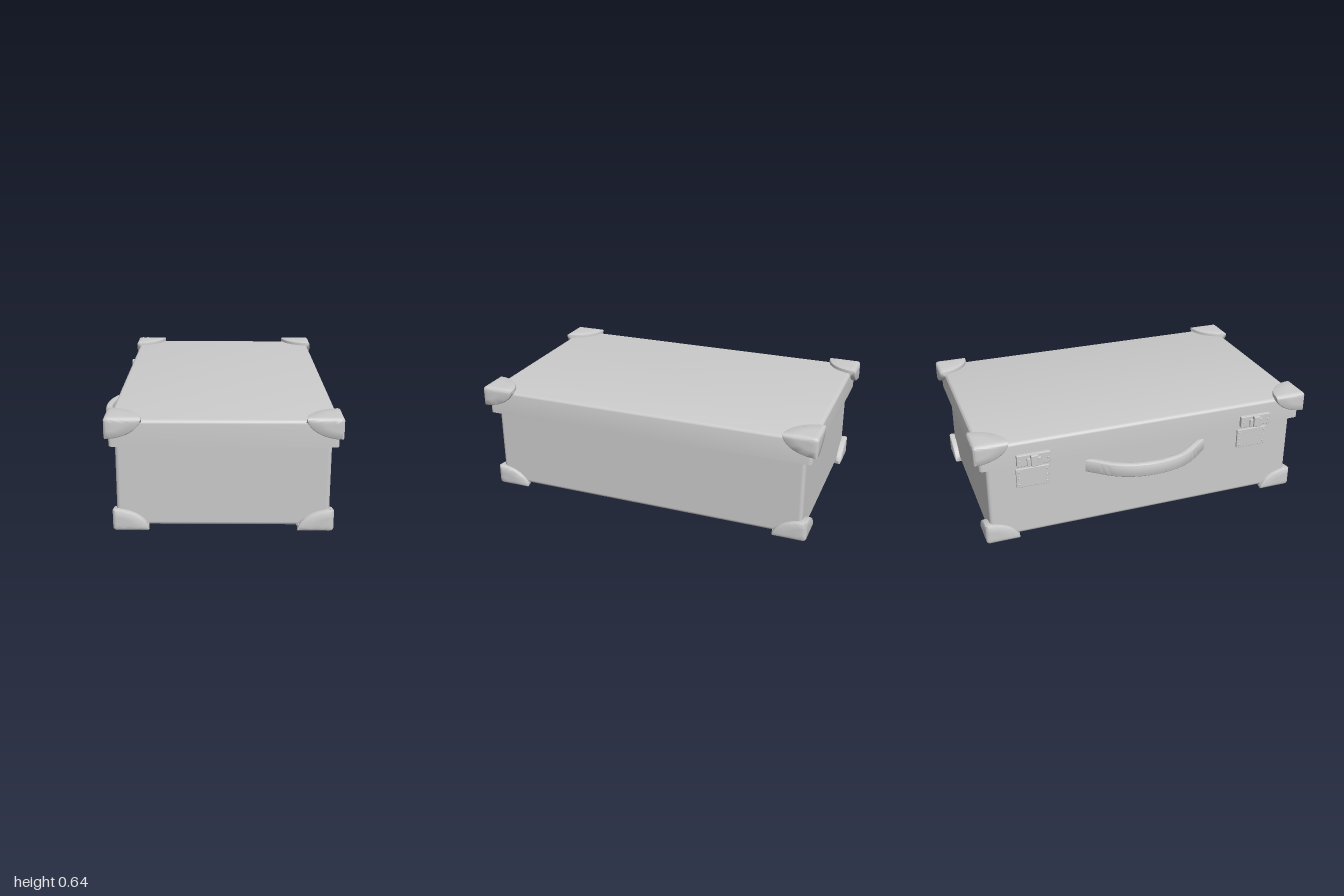
import * as THREE from 'three';
import { toCreasedNormals } from 'three/addons/utils/BufferGeometryUtils.js';
import { RoundedBoxGeometry } from 'three/addons/geometries/RoundedBoxGeometry.js';

const material = new THREE.MeshStandardMaterial({ color: 0xcccccc });

function add(parent, name, geometry) {
  const mesh = new THREE.Mesh(geometry, material);
  mesh.name = name;
  parent.add(mesh);
  return mesh;
}

// Rounded box given by its lowest and highest corners
function block(min, max, radius, segments = 3) {
  const s = max.map((m, i) => m - min[i]);
  return new RoundedBoxGeometry(s[0], s[1], s[2], segments, radius)
    .translate(...max.map((m, i) => (m + min[i]) / 2));
}

// Corner cap: three quarter-ellipse plates meeting at a rounded corner
function cornerCap(corner, sign, reach) {
  const R = 0.02, columns = 20;
  const rows = [
    [0, 0], [0.05, 0], [0.1, 0], [0.17, 0], [0.35, 0], [0.65, 0], [0.95, 0],
    [0.99, 0.004], [1, 0.012], [1, 0.04], // rolled rim, turned into the case
  ];
  const flip = sign[0] * sign[1] * sign[2] < 0;
  const positions = [];

  const point = (face, [r, inset], j) => {
    const t = j / columns;
    const angle = (Math.PI / 2) * t * t * (3 - 2 * t);
    const u = (face + 1) % 3, v = (face + 2) % 3;
    const p = [0, 0, 0];
    p[u] = r * reach[u] * (j === columns ? 0 : Math.cos(angle));
    p[v] = r * reach[v] * Math.sin(angle);
    // Round the edges of the corner
    const core = p.map((c) => Math.max(c, R));
    const d = core.map((c, i) => c - p[i]);
    const length = Math.hypot(...d);
    return core.map((c, i) =>
      corner[i] - sign[i] * Math.max(c - (d[i] / length) * R, inset));
  };

  for (let face = 0; face < 3; face++) {
    for (let i = 0; i < rows.length - 1; i++) {
      for (let j = 0; j < columns; j++) {
        const a = point(face, rows[i], j), b = point(face, rows[i + 1], j);
        const c = point(face, rows[i + 1], j + 1), d = point(face, rows[i], j + 1);
        const triangles = i === 0 ? [[a, b, c]] : [[a, b, c], [a, c, d]];
        for (const [p, q, s] of triangles) positions.push(...p, ...(flip ? s : q), ...(flip ? q : s));
      }
    }
  }
  const geometry = new THREE.BufferGeometry();
  geometry.setAttribute('position', new THREE.Float32BufferAttribute(positions, 3));
  return toCreasedNormals(geometry, 0.8);
}

// Lid: rounded on top and at the sides, cut flat at the bottom
function lidGeometry() {
  const bottom = 0.48, r = 0.02;
  const geometry = block([-0.54, bottom - r, -0.97], [0.655, 0.623, 0.97], r, 4);
  const pos = geometry.attributes.position;
  for (let i = 0; i < pos.count; i++) pos.setY(i, Math.max(pos.getY(i), bottom));
  return toCreasedNormals(geometry, 0.6);
}

// Handle: a bowed strap of even thickness with softened edges
function handleGeometry() {
  const half = [[-0.5, 0.35], [-0.54, 0.3], [-0.6, 0.222], [-0.637, 0.14], [-0.654, 0.05]];
  const path = [...half, ...half.map(([x, z]) => [x, -z]).reverse()];
  const curve = new THREE.CatmullRomCurve3(path.map(([x, z]) => new THREE.Vector3(x, z, 0)));
  const outer = [], inner = [];
  const n = 48, bevel = 0.013, w = 0.021 - bevel;
  for (let i = 0; i <= n; i++) {
    const p = curve.getPoint(i / n), t = curve.getTangent(i / n);
    outer.push(new THREE.Vector2(p.x + t.y * w, p.y - t.x * w));
    inner.unshift(new THREE.Vector2(p.x - t.y * w, p.y + t.x * w));
  }
  const depth = 0.08 - 2 * bevel;
  const geometry = new THREE.ExtrudeGeometry(new THREE.Shape([...outer, ...inner]), {
    depth, bevelEnabled: true, bevelSize: bevel, bevelThickness: bevel, bevelSegments: 4,
  });
  geometry.translate(0, 0, -depth / 2).rotateX(-Math.PI / 2).translate(0, 0.386, 0);
  return toCreasedNormals(geometry, 0.8);
}

// Small round-headed stud pointing to -x
function rivet(parent, x, y, z) {
  const geometry = new THREE.SphereGeometry(0.006, 12, 6, 0, Math.PI * 2, 0, Math.PI / 2);
  add(parent, 'rivet', geometry.rotateZ(Math.PI / 2)).position.set(x, y, z);
}

function createLatch(z) {
  const latch = new THREE.Group();
  latch.name = 'latch';
  latch.position.z = z;
  add(latch, 'lockPlate', block([-0.524, 0.33, -0.095], [-0.5, 0.447, 0.095], 0.003, 2));
  add(latch, 'haspPlate', block([-0.56, 0.482, -0.095], [-0.53, 0.55, 0.095], 0.004, 2));
  add(latch, 'haspTongue', block([-0.57, 0.482, -0.04], [-0.55, 0.53, 0.04], 0.004, 2));
  add(latch, 'haspKnob', block([-0.582, 0.483, -0.02], [-0.555, 0.55, 0.02], 0.005, 2));
  for (const side of [-0.08, 0.08]) {
    for (const y of [0.35, 0.39, 0.43]) rivet(latch, -0.523, y, side);
    rivet(latch, -0.559, 0.516, side);
  }
  return latch;
}

export function createModel() {
  const model = new THREE.Group();
  model.name = 'suitcase';

  add(model, 'body', block([-0.512, 0.022, -0.932], [0.623, 0.53, 0.932], 0.022, 4));
  add(model, 'lid', lidGeometry());

  // Caps on all eight corners
  for (const sx of [-1, 1]) {
    for (const sz of [-1, 1]) {
      add(model, 'lidCorner', cornerCap(
        [sx > 0 ? 0.675 : -0.56, 0.645, sz], [sx, 1, sz], [0.195, 0.115, 0.195]));
      add(model, 'bodyCorner', cornerCap(
        [sx > 0 ? 0.645 : -0.533, 0, sz * 0.963], [sx, -1, sz], [0.195, 0.12, 0.195]));
    }
  }

  add(model, 'handle', handleGeometry());
  for (const z of [-0.675, 0.675]) model.add(createLatch(z));
  return model;
}
